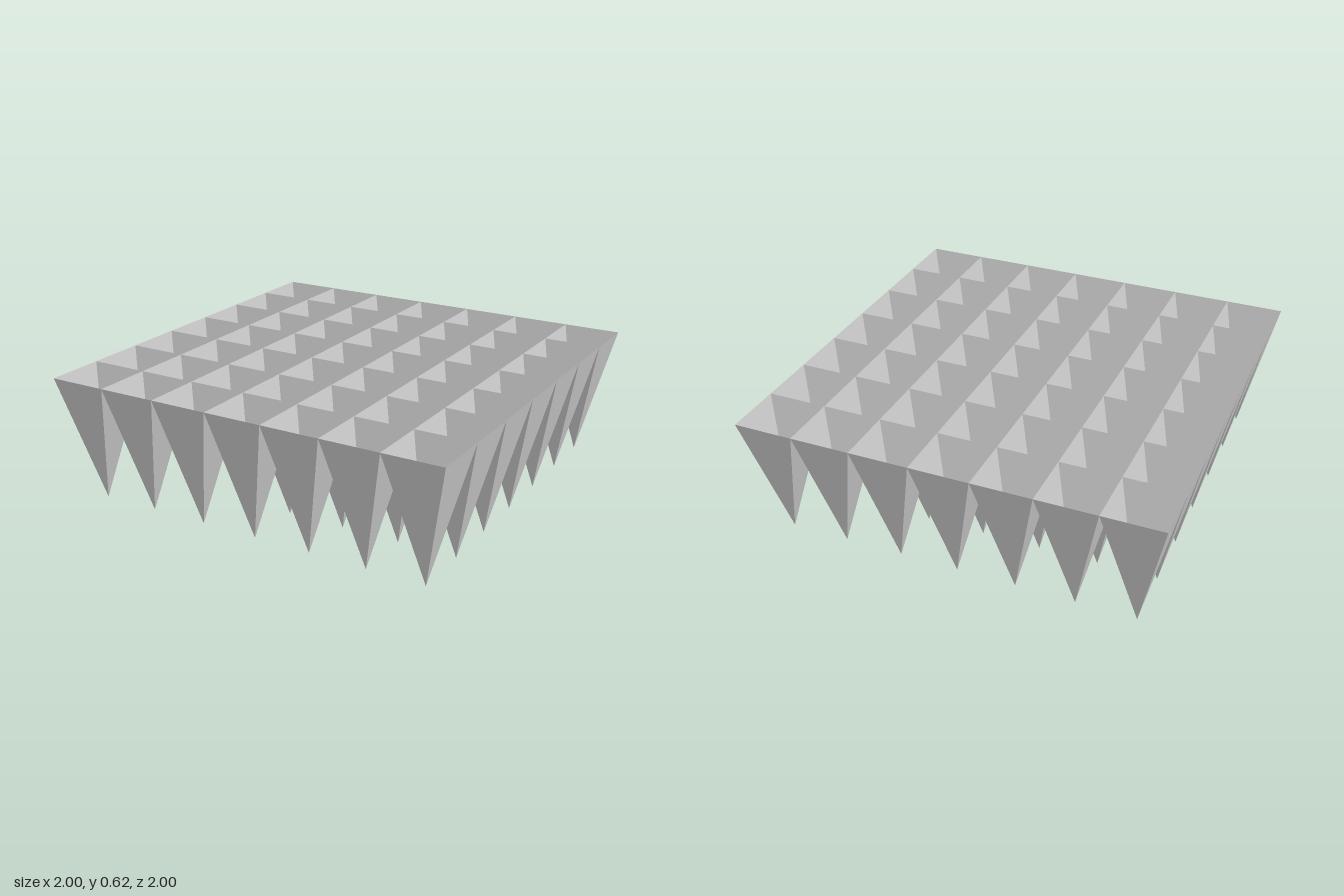
import * as THREE from 'three';

const COUNT = 7; // cells per side
const CELL = 2 / COUNT;
const HEIGHT = 0.62;

export function createModel() {
  const model = new THREE.Group();
  model.name = 'pyramidTray';

  const material = new THREE.MeshStandardMaterial({
    color: 0xcccccc,
    flatShading: true,
    side: THREE.DoubleSide,
  });

  // Hollow four-sided pyramid, point down and open at the top
  const pocket = new THREE.ConeGeometry(CELL * Math.SQRT1_2, HEIGHT, 4, 1, true);
  pocket.rotateY(Math.PI / 4);
  pocket.rotateX(Math.PI);
  pocket.translate(0, HEIGHT / 2, 0);

  // Square grid of pockets sharing their rims
  for (let row = 0; row < COUNT; row++) {
    for (let col = 0; col < COUNT; col++) {
      const mesh = new THREE.Mesh(pocket, material);
      mesh.name = `pocket_${row + 1}_${col + 1}`;
      mesh.position.set((col + 0.5) * CELL - 1, 0, (row + 0.5) * CELL - 1);
      model.add(mesh);
    }
  }
  return model;
}
